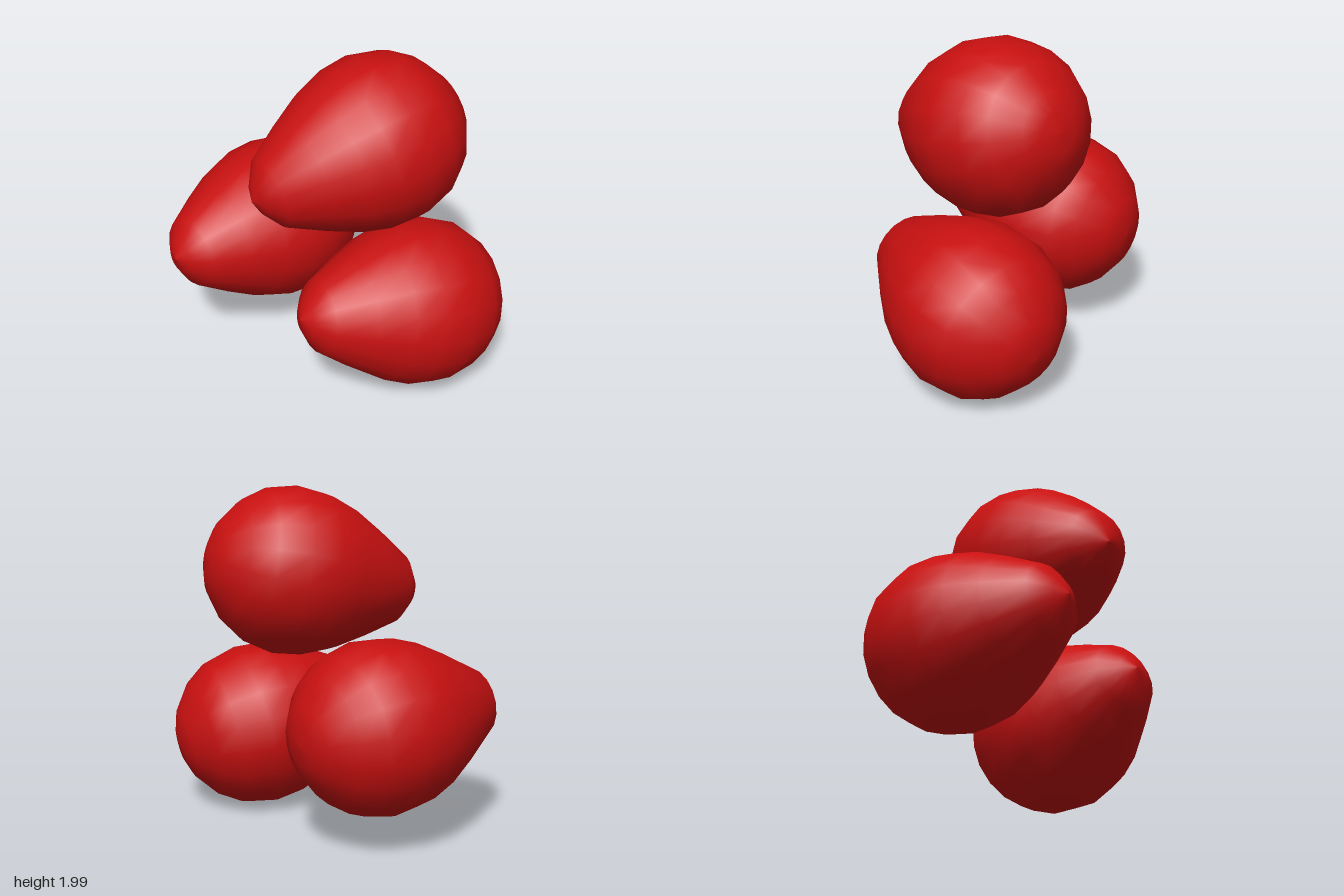
import * as THREE from 'three';

// Half outline of one fruit: [radius, distance along the axis towards the narrow tip]
const OUTLINE = [
  [0, -0.51], [0.11, -0.5], [0.215, -0.463], [0.365, -0.35], [0.455, -0.22], [0.503, -0.03],
  [0.488, 0.15], [0.432, 0.316], [0.335, 0.5], [0.21, 0.71], [0.095, 0.79], [0, 0.825],
];

// Centre of the widest ring and direction of the narrow tip for each fruit
const FRUITS = [
  { name: 'topFruit', centre: [0.22, 1.5, 0.22], tip: [-0.977, -0.205, -0.045] },
  { name: 'lowerFrontFruit', centre: [0.345, 0.5, 0.5], tip: [-0.98, 0.19, -0.035] },
  { name: 'lowerBackFruit', centre: [-0.03, 0.69, -0.5], tip: [-0.975, 0.065, 0.2] },
];

export function createModel() {
  const group = new THREE.Group();
  const red = new THREE.MeshStandardMaterial({ color: 0xc81010 });
  red.name = 'red';

  // Egg-shaped body shared by all three
  const body = new THREE.LatheGeometry(OUTLINE.map(([r, t]) => new THREE.Vector2(r, t)), 18);
  const up = new THREE.Vector3(0, 1, 0);

  for (const { name, centre, tip } of FRUITS) {
    const fruit = new THREE.Mesh(body, red);
    fruit.name = name;
    fruit.position.set(...centre);
    fruit.quaternion.setFromUnitVectors(up, new THREE.Vector3(...tip).normalize());
    group.add(fruit);
  }
  return group;
}
